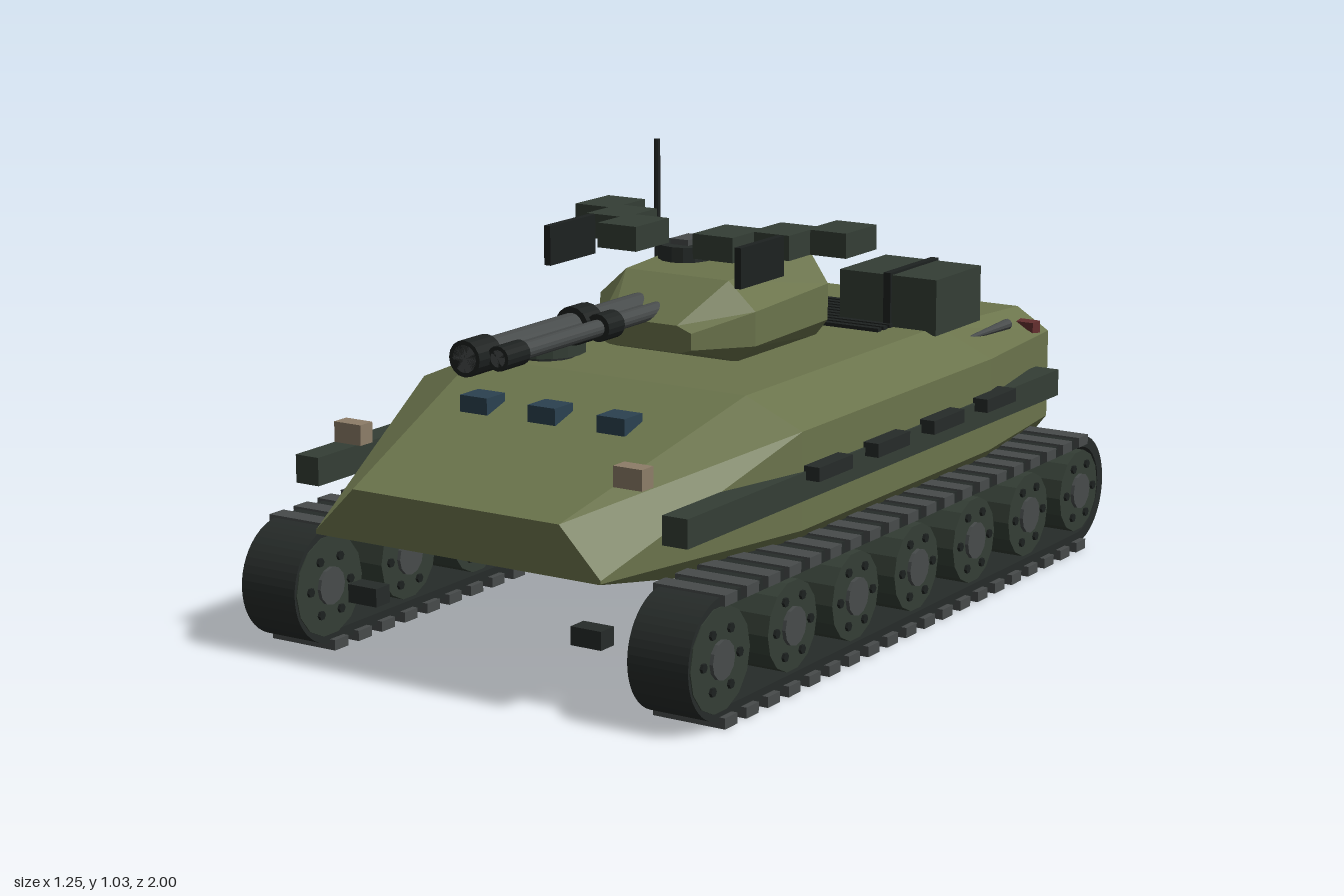
import * as THREE from 'three';

const material = (color, extra = {}) => new THREE.MeshStandardMaterial({ color, flatShading: true, ...extra });
const M = {
  hull: material(0x6b744c), green: material(0x343e35), dark: material(0x262b29),
  black: material(0x1d2120), steel: material(0x474b4b), glass: material(0x2b4150),
  lamp: material(0x8d7d68), red: material(0x632e2e),
};

// Loft through mirrored half profiles, ordered front to back: [z, [x, y] top to bottom]
function loft(sections) {
  const rings = sections.map(([z, half]) => [
    ...half.map(([x, y]) => [x, y, z]),
    ...half.map(([x, y]) => [-x, y, z]).reverse(),
  ]);
  const n = rings[0].length, pos = [];
  const tri = (...points) => points.forEach((p) => pos.push(...p));
  for (let i = 0; i + 1 < rings.length; i++) {
    for (let j = 0; j < n; j++) {
      const k = (j + 1) % n;
      const a = rings[i][j], b = rings[i][k], c = rings[i + 1][k], d = rings[i + 1][j];
      tri(a, b, c);
      tri(a, c, d);
    }
  }
  const front = rings[0], back = rings[rings.length - 1];
  for (let j = 1; j + 1 < n; j++) {
    tri(front[0], front[j + 1], front[j]);
    tri(back[0], back[j], back[j + 1]);
  }
  const geometry = new THREE.BufferGeometry();
  geometry.setAttribute('position', new THREE.Float32BufferAttribute(pos, 3));
  geometry.computeVertexNormals();
  return geometry;
}

function add(parent, name, geometry, mat, x = 0, y = 0, z = 0) {
  const mesh = new THREE.Mesh(geometry, mat);
  mesh.name = name;
  mesh.position.set(x, y, z);
  parent.add(mesh);
  return mesh;
}

// Box given by its ranges on each axis
function box(parent, name, mat, [x0, x1], [y0, y1], [z0, z1]) {
  return add(parent, name, new THREE.BoxGeometry(x1 - x0, y1 - y0, z1 - z0), mat,
    (x0 + x1) / 2, (y0 + y1) / 2, (z0 + z1) / 2);
}

// Cylinder along an axis, centred at x, y, z
function rod(parent, name, mat, axis, r, length, [x, y, z], sides = 16) {
  const geometry = new THREE.CylinderGeometry(r, r, length, sides);
  if (axis === 'x') geometry.rotateZ(Math.PI / 2);
  if (axis === 'z') geometry.rotateX(Math.PI / 2);
  return add(parent, name, geometry, mat, x, y, z);
}

function stadium(PathType, r, z0, z1) {
  const path = new PathType();
  path.absarc(z1, 0, r, -Math.PI / 2, Math.PI / 2, false);
  path.absarc(z0, 0, r, Math.PI / 2, Math.PI * 1.5, false);
  path.closePath();
  return path;
}

function trackUnit(side) {
  const group = new THREE.Group();
  group.name = side > 0 ? 'leftTrack' : 'rightTrack';
  const cx = side * 0.5325, cy = 0.155;

  // Belt loop
  const belt = stadium(THREE.Shape, 0.14, -0.835, 0.86);
  belt.holes.push(stadium(THREE.Path, 0.112, -0.835, 0.86));
  const beltGeometry = new THREE.ExtrudeGeometry(belt, { depth: 0.155, bevelEnabled: false, curveSegments: 12 });
  beltGeometry.translate(0, 0, -0.0775).rotateY(-Math.PI / 2);
  add(group, 'trackBelt', beltGeometry, M.dark, cx, cy, 0);

  // Pads on the upper and lower runs
  for (let i = 0; i < 20; i++) {
    const z = -0.83 + i * 0.0885;
    for (const y of [0.0125, 0.2875]) {
      add(group, 'trackPad', new THREE.BoxGeometry(0.185, 0.025, 0.05), M.steel, cx, y, z);
    }
  }

  // Road wheels with hubs and bolts on both faces
  [0.875, 0.576, 0.298, 0.013, -0.271, -0.555, -0.834].forEach((z, i) => {
    rod(group, 'wheel', M.green, 'x', i === 0 ? 0.12 : 0.105, 0.16, [cx, cy, z], 14);
    rod(group, 'wheelHub', M.steel, 'x', 0.045, 0.178, [cx, cy, z], 12);
    for (let b = 0; b < 6; b++) {
      const a = (b * Math.PI) / 3;
      rod(group, 'wheelBolt', M.black, 'x', 0.011, 0.174,
        [cx, cy + 0.073 * Math.sin(a), z + 0.073 * Math.cos(a)], 6);
    }
  });
  return group;
}

export function createModel() {
  const model = new THREE.Group();
  model.name = 'armouredVehicle';

  // Hull
  add(model, 'hull', loft([
    [1, [[0.28, 0.435], [0.388, 0.325], [0.388, 0.318]]],
    [0.4, [[0.38, 0.615], [0.53, 0.55], [0.53, 0.32], [0.445, 0.215]]],
    [-0.5, [[0.38, 0.615], [0.53, 0.55], [0.53, 0.32], [0.445, 0.215]]],
    [-0.985, [[0.35, 0.58], [0.44, 0.525], [0.44, 0.3], [0.4, 0.25]]],
  ].map(([z, p]) => [z, p.length === 4 ? p : [...p, [0.386, 0.316]]])), M.hull);

  // Turret
  const turret = new THREE.Group();
  turret.name = 'turret';
  model.add(turret);
  add(turret, 'turretShell', loft([
    [0.24, [[0.09, 0.715], [0.13, 0.7], [0.13, 0.66], [0.1, 0.65]]],
    [0.1, [[0.145, 0.805], [0.22, 0.738], [0.22, 0.655], [0.17, 0.612]]],
    [-0.26, [[0.15, 0.825], [0.205, 0.745], [0.205, 0.655], [0.17, 0.612]]],
  ]), M.hull);
  rod(turret, 'cupola', M.dark, 'y', 0.075, 0.04, [-0.077, 0.828, -0.07]);
  box(turret, 'cupolaLatch', M.steel, [-0.103, -0.052], [0.84, 0.862], [-0.11, -0.03]);

  // Gun barrels: x, radius, muzzle radius, tip z, collar z
  for (const [x, r, rm, tip, collar] of [[-0.065, 0.032, 0.042, 0.865, 0.415], [-0.003, 0.02, 0.029, 0.825, 0.4]]) {
    rod(turret, 'barrel', M.steel, 'z', r, tip - 0.16, [x, 0.733, (tip + 0.16) / 2]);
    rod(turret, 'muzzle', M.black, 'z', rm, 0.085, [x, 0.733, tip - 0.0425]);
    rod(turret, 'barrelCollar', M.black, 'z', rm + 0.004, 0.065, [x, 0.733, collar]);
  }

  // Driver hatch
  rod(model, 'driverHatchRing', M.dark, 'y', 0.075, 0.025, [-0.25, 0.618, 0.29]);
  rod(model, 'driverHatch', M.green, 'y', 0.098, 0.03, [-0.25, 0.64, 0.29]);
  box(model, 'driverHatchLatch', M.steel, [-0.277, -0.225], [0.65, 0.667], [0.255, 0.325]);

  // Vision blocks
  for (const x of [-0.21, -0.02, 0.17]) {
    box(model, 'visionBlock', M.glass, [x - 0.038, x + 0.038], [0.545, 0.585], [0.565, 0.637]);
  }

  // Engine grille
  for (let i = 0; i < 10; i++) {
    const z = -0.633 + i * 0.0295;
    box(model, 'grilleSlat', M.black, [-0.295, 0.29], [0.6, 0.624], [z - 0.009, z + 0.009]);
  }

  // Stowage box and antenna
  box(model, 'stowageBox', M.green, [0.137, 0.41], [0.605, 0.745], [-0.665, -0.435]);
  box(model, 'stowageStrap', M.black, [0.265, 0.285], [0.605, 0.751], [-0.672, -0.428]);
  rod(model, 'antenna', M.black, 'y', 0.008, 0.43, [-0.377, 0.82, -0.39], 8);

  // Rear door
  box(model, 'rearDoor', M.dark, [-0.25, 0.25], [0.265, 0.565], [-1, -0.97]);

  for (const s of [1, -1]) {
    model.add(trackUnit(s));
    const sideBox = (name, mat, x, w, y, z) => box(model, name, mat, [s * x - w / 2, s * x + w / 2], y, z);

    // Side rail with hinge blocks
    sideBox('sideRail', M.green, 0.5025, 0.065, [0.39, 0.457], [-0.86, 0.885]);
    for (const z of [0.317, 0.05, -0.218, -0.485]) {
      sideBox('railBlock', M.dark, 0.545, 0.05, [0.437, 0.47], [z - 0.075, z + 0.075]);
    }

    // Stepped overhead boxes with a thin plate in front
    [[0.33, -0.108], [0.232, -0.012], [0.135, 0.083]].forEach(([x, z]) =>
      sideBox('overheadBox', M.green, x, 0.11, [0.86, 0.92], [z - 0.072, z + 0.072]));
    sideBox('overheadPlate', M.black, 0.267, 0.018, [0.824, 0.92], [0.065, 0.255]);

    // Lamps and tow block
    sideBox('headlight', M.lamp, 0.382, 0.075, [0.502, 0.55], [0.842, 0.886]);
    sideBox('tailLight', M.red, 0.41, 0.07, [0.523, 0.562], [-0.928, -0.888]);
    sideBox('towBlock', M.dark, 0.307, 0.08, [0.147, 0.19], [0.89, 0.94]);

    // Rear brackets
    sideBox('rearBracket', M.dark, 0.365, 0.035, [0.23, 0.41], [-0.998, -0.97]);
    rod(model, 'rearBracketDisc', M.black, 'z', 0.045, 0.025, [s * 0.365, 0.3, -0.985]);

    // Tapered exhaust
    const exhaust = new THREE.CylinderGeometry(0.005, 0.014, 0.2, 10).rotateX(Math.PI / 2);
    add(model, 'exhaust', exhaust, M.steel, s * 0.43, 0.578, -0.675);
  }
  return model;
}
